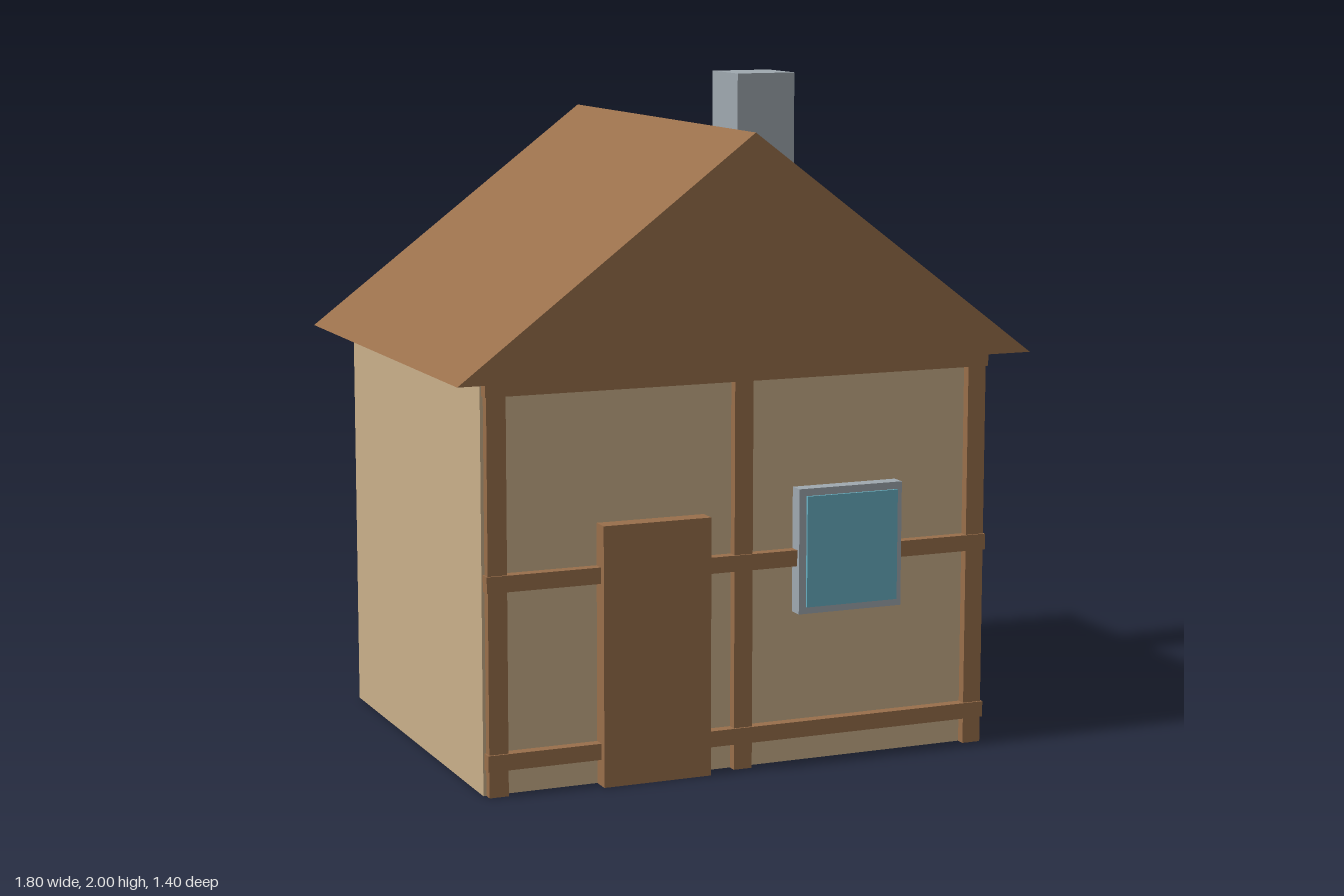
import * as THREE from 'three';

const material = (name, color) => {
  const m = new THREE.MeshStandardMaterial({ color });
  m.name = name;
  return m;
};

export function createModel() {
  const house = new THREE.Group();
  house.name = 'house';
  const plaster = material('tan plaster', 0xcab08a);
  const wood = material('brown wood', 0x996f4b);
  const stone = material('grey stone', 0xa0a9b0);
  const glass = material('blue glass', 0x68b0c2);

  // Box given by its limits along each axis
  const box = (name, mat, [x0, x1], [y0, y1], [z0, z1]) => {
    const mesh = new THREE.Mesh(new THREE.BoxGeometry(x1 - x0, y1 - y0, z1 - z0), mat);
    mesh.position.set((x0 + x1) / 2, (y0 + y1) / 2, (z0 + z1) / 2);
    mesh.name = name;
    house.add(mesh);
  };

  box('walls', plaster, [-0.8, 0.8], [0, 1.205], [-0.6, 0.6]);

  // Solid gabled roof
  const gable = new THREE.Shape();
  gable.moveTo(-0.9, 1.203);
  gable.lineTo(0.9, 1.203);
  gable.lineTo(0, 1.88);
  gable.closePath();
  const roofGeometry = new THREE.ExtrudeGeometry(gable, { depth: 1.4, bevelEnabled: false });
  roofGeometry.translate(0, 0, -0.7);
  const roof = new THREE.Mesh(roofGeometry, wood);
  roof.name = 'roof';
  house.add(roof);

  box('chimney', stone, [0.32, 0.515], [1.4, 2], [-0.337, -0.142]);

  // Timber frame on the front
  for (const x of [-0.762, 0, 0.762])
    box('verticalBeam', wood, [x - 0.029, x + 0.029], [0, 1.203], [0.59, 0.628]);
  for (const y of [0.102, 0.622, 1.182])
    box('horizontalBeam', wood, [-0.796, 0.796], [y - 0.024, y + 0.024], [0.59, 0.634]);

  box('door', wood, [-0.45, -0.115], [0, 0.77], [0.59, 0.656]);

  // Window
  box('windowFrame', stone, [0.17, 0.505], [0.455, 0.83], [0.59, 0.647]);
  box('windowPane', glass, [0.193, 0.488], [0.476, 0.808], [0.647, 0.655]);

  return house;
}
